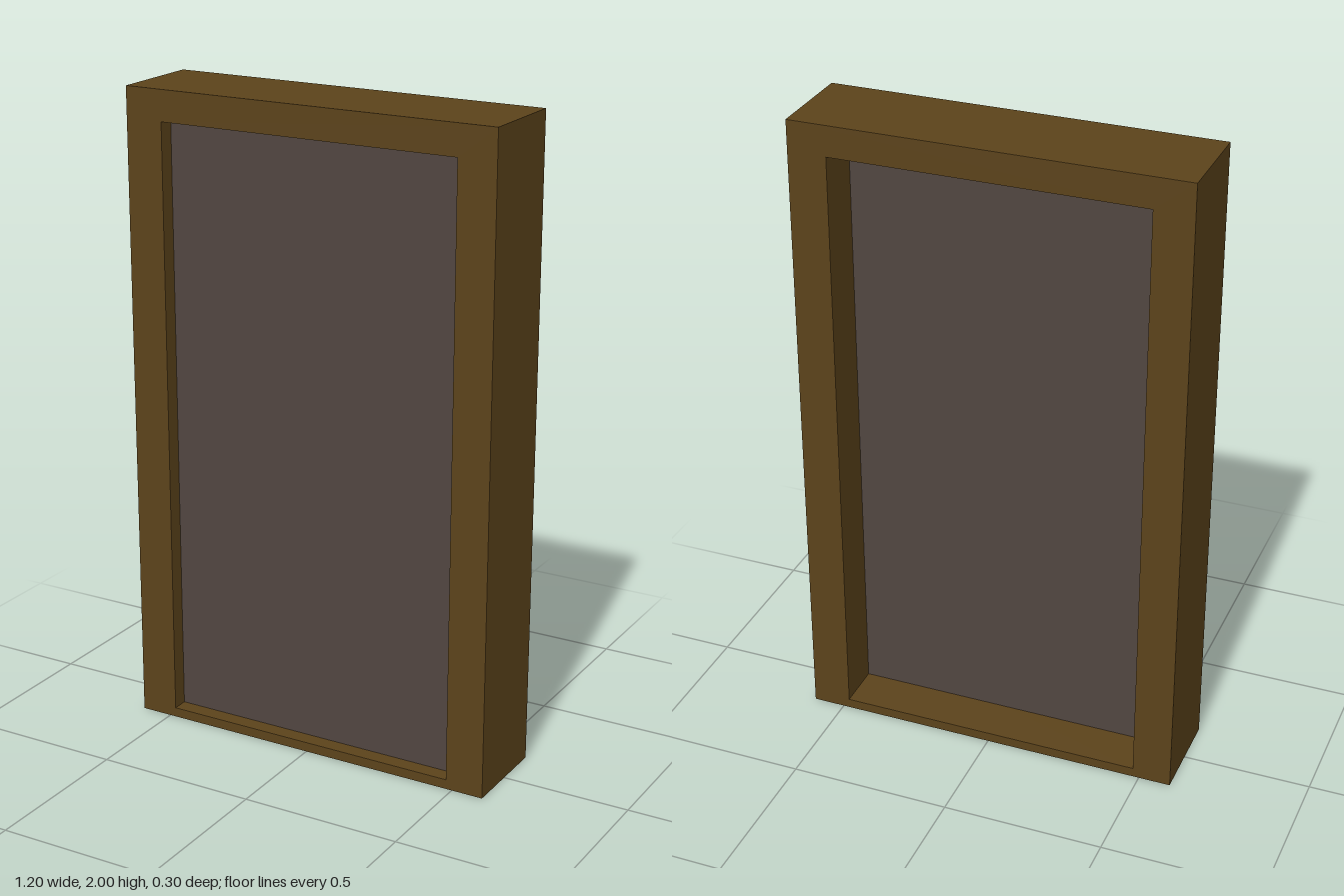
import * as THREE from 'three';

const WIDTH = 1.2, HEIGHT = 2, DEPTH = 0.3;
const OPENING = { halfWidth: 0.48, bottom: 0.03, top: 1.905 };
const PANEL = { back: 0, front: 0.1 };

// Traces a rectangle onto a Shape or Path
function rectangle(path, x0, y0, x1, y1) {
  path.moveTo(x0, y0);
  path.lineTo(x1, y0);
  path.lineTo(x1, y1);
  path.lineTo(x0, y1);
  path.closePath();
  return path;
}

export function createModel() {
  const group = new THREE.Group();
  group.name = 'framedPanel';
  const wood = new THREE.MeshStandardMaterial({ color: 0x5c431b });
  const slate = new THREE.MeshStandardMaterial({ color: 0x514641 });
  const { halfWidth, bottom, top } = OPENING;

  // Wooden frame: wide sides, thinner top, very thin sill
  const outline = rectangle(new THREE.Shape(), -WIDTH / 2, 0, WIDTH / 2, HEIGHT);
  outline.holes.push(rectangle(new THREE.Path(), -halfWidth, bottom, halfWidth, top));
  const frameGeometry = new THREE.ExtrudeGeometry(outline, { depth: DEPTH, bevelEnabled: false });
  frameGeometry.translate(0, 0, -DEPTH / 2);
  const frame = new THREE.Mesh(frameGeometry, wood);
  frame.name = 'frame';
  group.add(frame);

  // Panel filling the opening, set closer to the front than to the back
  const panel = new THREE.Mesh(
    new THREE.BoxGeometry(halfWidth * 2, top - bottom, PANEL.front - PANEL.back), slate);
  panel.position.set(0, (top + bottom) / 2, (PANEL.front + PANEL.back) / 2);
  panel.name = 'panel';
  group.add(panel);

  return group;
}
